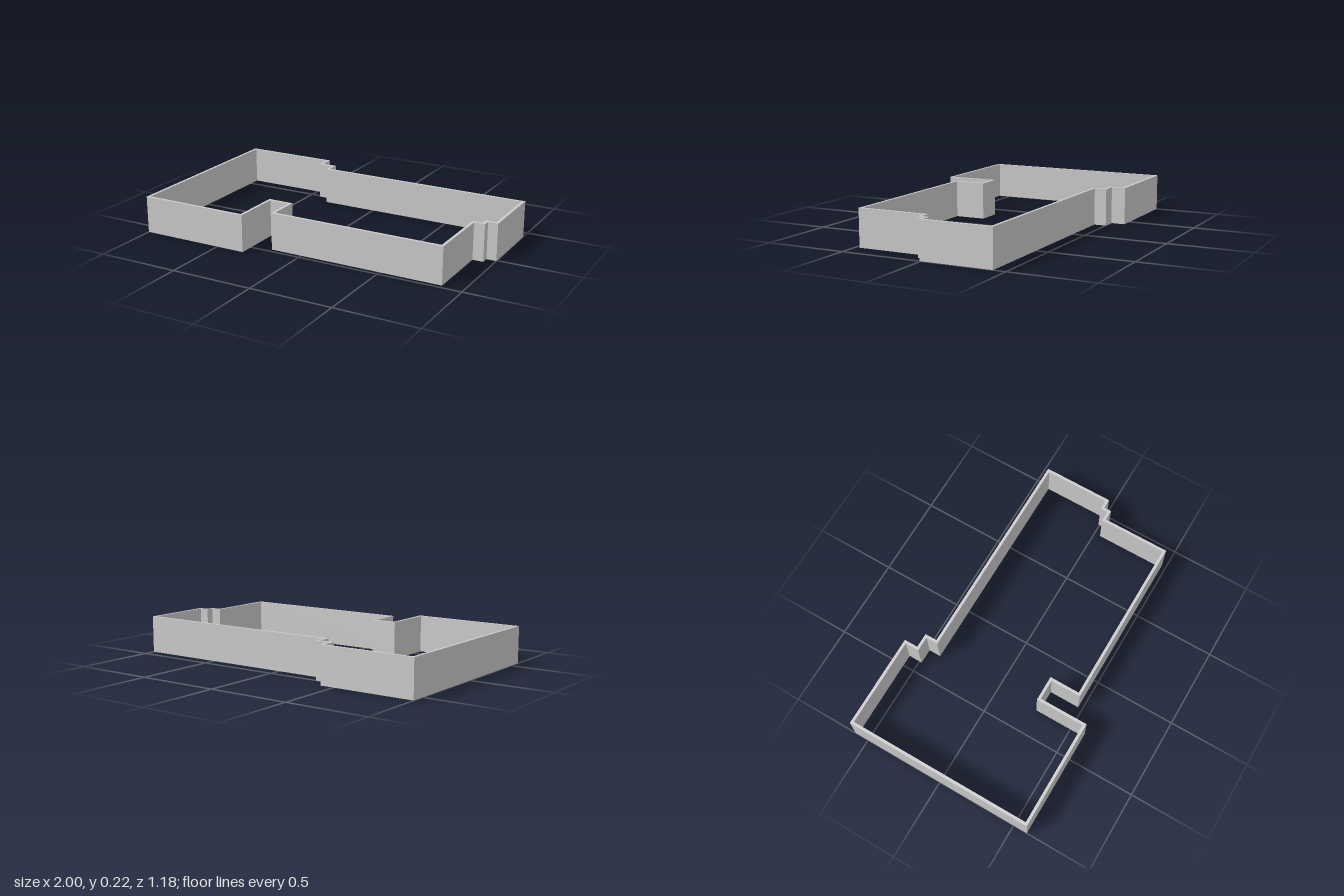
import * as THREE from 'three';

const HEIGHT = 0.224;
const THICKNESS = 0.017;

// Outer face of the wall in plan, as [x, z], clockwise seen from above
const OUTLINE = [
  [-1, -0.588], [-0.413, -0.588], [-0.413, -0.502], [-0.321, -0.502], [-0.321, -0.427],
  [1, -0.427], [1, 0.008], [0.94, 0.008], [0.94, 0.055], [0.875, 0.055],
  [0.875, 0.473], [-0.196, 0.473], [-0.196, 0.285], [-0.321, 0.285], [-0.321, 0.588], [-1, 0.588],
];

// Moves every corner of a right-angled outline inward by distance d
function inset(points, d) {
  const n = points.length;
  return points.map(([x, z], i) => {
    const [px, pz] = points[(i + n - 1) % n];
    const [nx, nz] = points[(i + 1) % n];
    // inward normal of an edge (dx, dz) is (-dz, dx)
    const ox = -Math.sign(z - pz) - Math.sign(nz - z);
    const oz = Math.sign(x - px) + Math.sign(nx - x);
    return [x + ox * d, z + oz * d];
  });
}

const toPlan = (points) => points.map(([x, z]) => new THREE.Vector2(x, -z));

export function createModel() {
  const group = new THREE.Group();
  group.name = 'perimeterWall';

  // Continuous thin wall, open at top and bottom; the hole winds the other way
  const shape = new THREE.Shape(toPlan(OUTLINE));
  shape.holes.push(new THREE.Path(toPlan(inset(OUTLINE, THICKNESS)).reverse()));
  const geometry = new THREE.ExtrudeGeometry(shape, { depth: HEIGHT, bevelEnabled: false });
  geometry.rotateX(-Math.PI / 2);

  const wall = new THREE.Mesh(
    geometry,
    new THREE.MeshStandardMaterial({ color: 0xcccccc, flatShading: true })
  );
  wall.name = 'wall';
  group.add(wall);
  return group;
}
